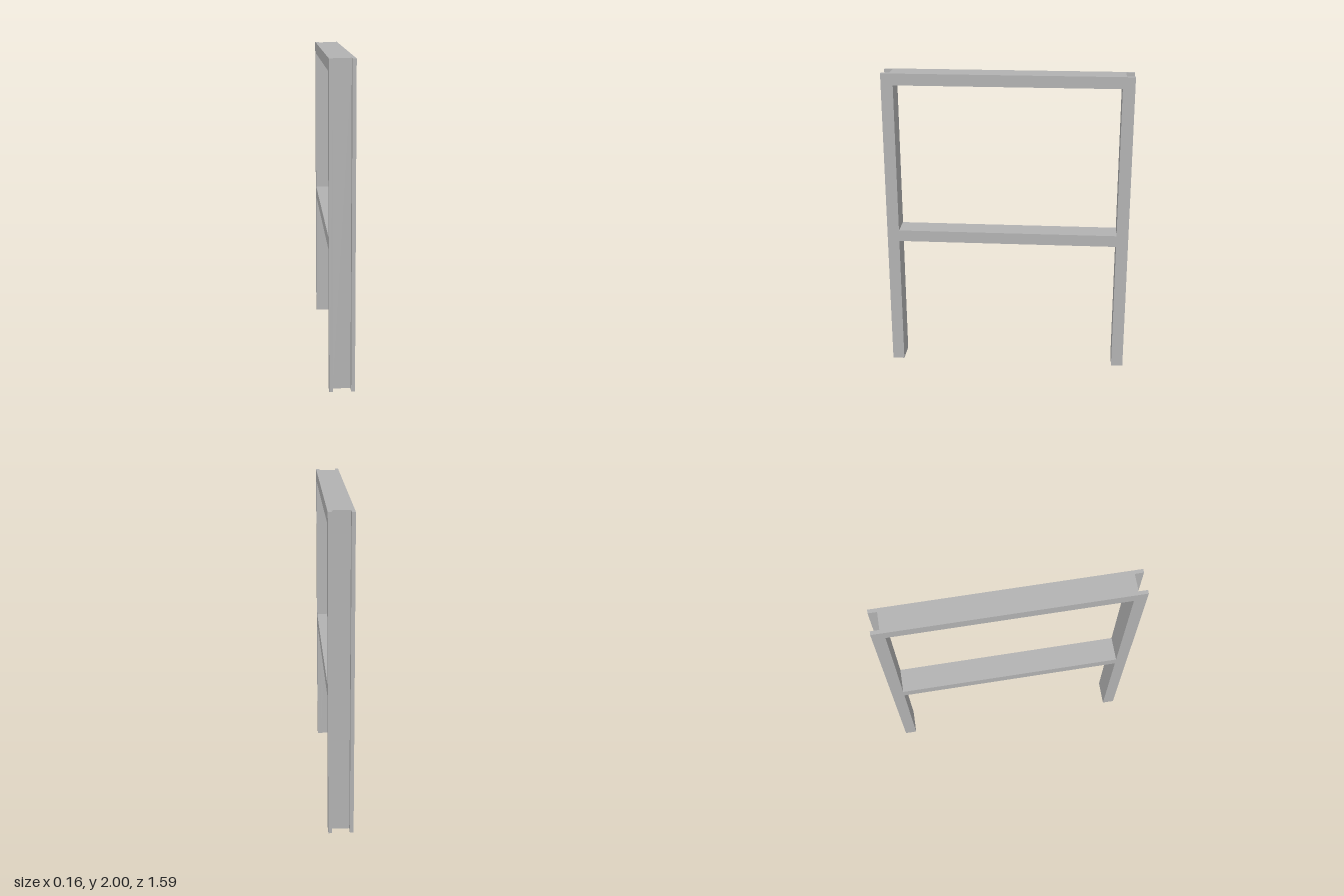
import * as THREE from 'three';

// Frame of steel channels: posts open outward, rails open downward
const HALF_W = 0.078;   // half width across the channel
const T = 0.023;        // plate thickness
const Z_OUT = 0.793;    // outer edge of the posts
const Z_IN = 0.716;     // inner face of the posts
const TOP = 2;
const TOP_UNDER = 1.925;
const MID_TOP = 0.952;
const MID_UNDER = 0.877;

export function createModel() {
  const group = new THREE.Group();
  const steel = new THREE.MeshStandardMaterial({ color: 0xb2b2b2 });
  steel.name = 'grey steel';

  const add = (name, geometry, x, y, z) => {
    const mesh = new THREE.Mesh(geometry, steel);
    mesh.name = name;
    mesh.position.set(x, y, z);
    group.add(mesh);
    return mesh;
  };

  // Flange outline: two legs, a middle rail and a top rail in one plate
  const outline = new THREE.Shape([
    [-Z_OUT, 0], [-Z_IN, 0], [-Z_IN, MID_UNDER], [Z_IN, MID_UNDER],
    [Z_IN, 0], [Z_OUT, 0], [Z_OUT, TOP], [-Z_OUT, TOP],
  ].map(([z, y]) => new THREE.Vector2(z, y)));
  outline.holes.push(new THREE.Path([
    [-Z_IN, MID_TOP], [-Z_IN, TOP_UNDER], [Z_IN, TOP_UNDER], [Z_IN, MID_TOP],
  ].map(([z, y]) => new THREE.Vector2(z, y))));
  const flange = new THREE.ExtrudeGeometry(outline, { depth: T, bevelEnabled: false });
  flange.rotateY(Math.PI / 2);
  add('leftFlanges', flange, HALF_W - T, 0, 0);
  add('rightFlanges', flange, -HALF_W, 0, 0);

  // Webs joining the two flange plates
  const webWidth = 2 * (HALF_W - T);
  const postWeb = new THREE.BoxGeometry(webWidth, TOP, T);
  add('frontPostWeb', postWeb, 0, TOP / 2, Z_IN + T / 2);
  add('backPostWeb', postWeb, 0, TOP / 2, -Z_IN - T / 2);

  const railWeb = new THREE.BoxGeometry(webWidth, T, 2 * Z_IN);
  add('topRailWeb', railWeb, 0, TOP - T / 2, 0);
  add('middleRailWeb', railWeb, 0, MID_TOP - T / 2, 0);

  return group;
}
